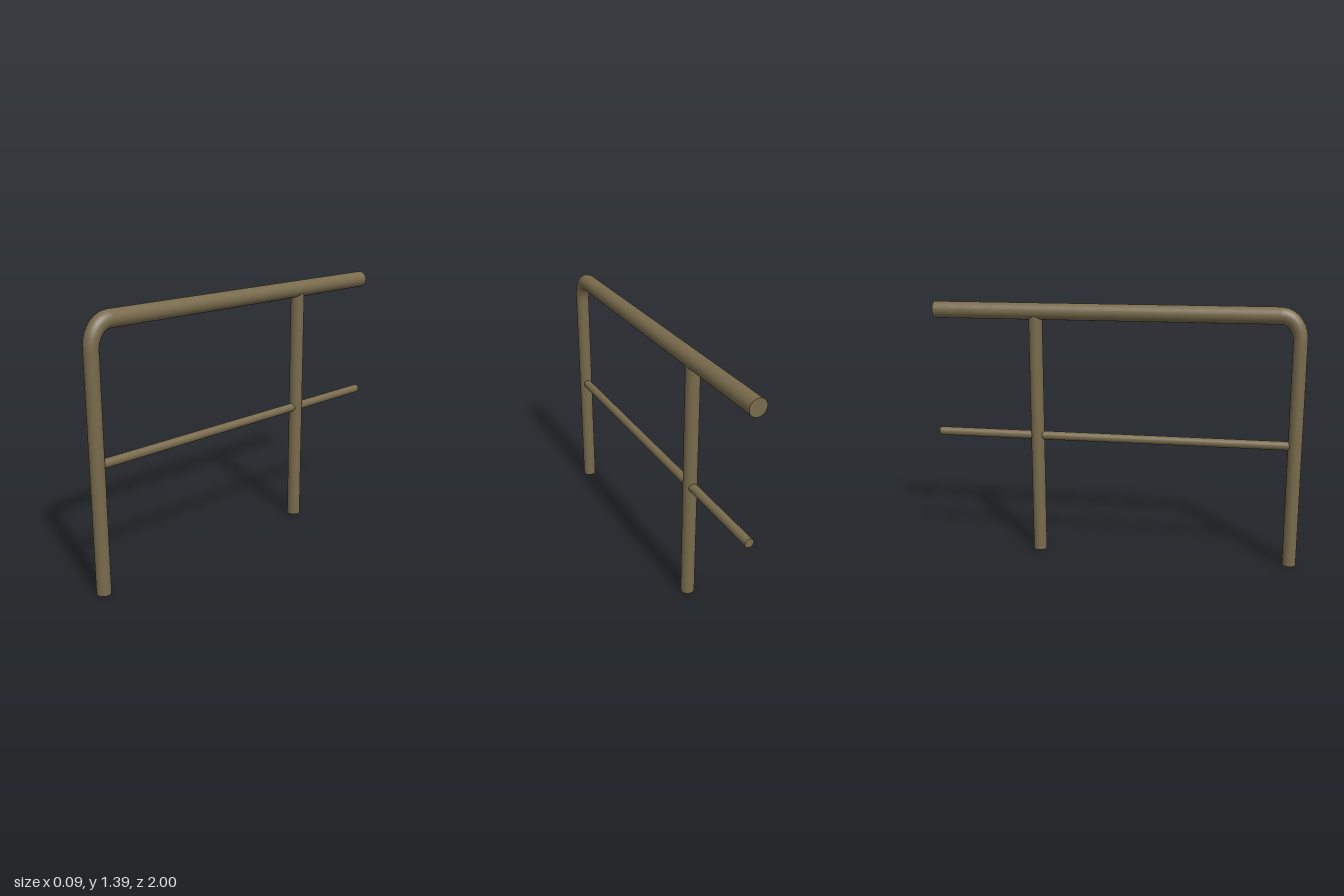
import * as THREE from 'three';

const SIDES = 32;
const POST_R = 0.037, RAIL_R = 0.045, BAR_R = 0.0235;
const FRONT_Z = 0.963, POST_Z = -0.434, BACK_Z = -1;
const RAIL_Y = 1.35, BAR_Y = 0.667;
const BEND_Y = 1.22, BEND_Z = 0.86; // where the bend meets the post and the rail

// Ellipse quarter running from the front post up into the top rail
class BendCurve extends THREE.Curve {
  getPoint(t, target = new THREE.Vector3()) {
    const a = t * Math.PI / 2;
    return target.set(
      0,
      BEND_Y + Math.sin(a) * (RAIL_Y - BEND_Y),
      BEND_Z + Math.cos(a) * (FRONT_Z - BEND_Z)
    );
  }
}

export function createModel() {
  const model = new THREE.Group();
  model.name = 'handrail';
  const metal = new THREE.MeshStandardMaterial({ color: 0x786a4c });
  metal.name = 'bronze paint';

  const add = (name, geometry) => {
    const mesh = new THREE.Mesh(geometry, metal);
    mesh.name = name;
    model.add(mesh);
    return mesh;
  };

  // Upright pipe at depth z, from the ground to height top
  const addPost = (name, z, top) => {
    add(name, new THREE.CylinderGeometry(POST_R, POST_R, top, SIDES)).position.set(0, top / 2, z);
  };

  // Level pipe at height y, from the front depth to the back end
  const addRail = (name, radius, y, front) => {
    const rail = add(name, new THREE.CylinderGeometry(radius, radius, front - BACK_Z, SIDES));
    rail.rotation.x = Math.PI / 2;
    rail.position.set(0, y, (front + BACK_Z) / 2);
  };

  addPost('frontPost', FRONT_Z, BEND_Y);
  addPost('rearPost', POST_Z, RAIL_Y);
  addRail('topRail', RAIL_R, RAIL_Y, BEND_Z);
  addRail('middleBar', BAR_R, BAR_Y, FRONT_Z);

  // Elbow, widening from the post's radius to the rail's
  const steps = 8;
  const elbow = new THREE.TubeGeometry(new BendCurve(), steps, POST_R, SIDES);
  const { position, normal } = elbow.attributes;
  const p = new THREE.Vector3(), n = new THREE.Vector3();
  for (let i = 0; i < position.count; i++) {
    const t = Math.floor(i / (SIDES + 1)) / steps;
    p.fromBufferAttribute(position, i);
    n.fromBufferAttribute(normal, i);
    p.addScaledVector(n, (RAIL_R - POST_R) * t);
    position.setXYZ(i, p.x, p.y, p.z);
  }
  add('elbow', elbow);

  return model;
}
